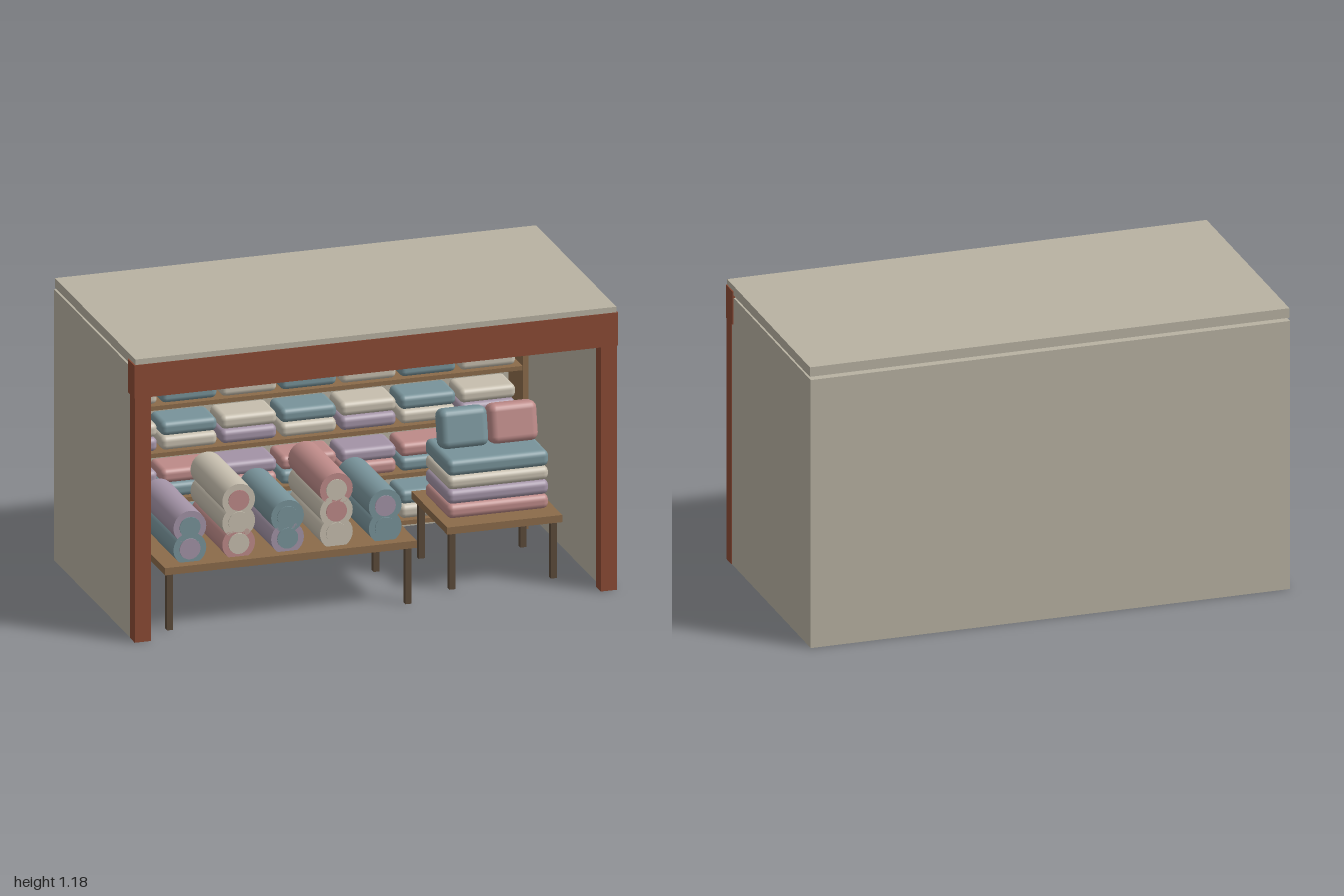
import * as THREE from 'three';
import { RoundedBoxGeometry } from 'three/addons/geometries/RoundedBoxGeometry.js';

const material = (name, color) => {
  const m = new THREE.MeshStandardMaterial({ color });
  m.name = name;
  return m;
};

export function createModel() {
  const plaster = material('plaster', 0xb8b2a2);
  const redWood = material('red painted wood', 0x8b4a35);
  const wood = material('shelf wood', 0x8b6b4a);
  const darkWood = material('dark leg wood', 0x5c4a3a);
  const lampDark = material('dark lamp', 0x45413c);
  const cream = material('cream cloth', 0xc6beae);
  const teal = material('teal cloth', 0x78939a);
  const pink = material('pink cloth', 0xbd8a88);
  const mauve = material('mauve cloth', 0xa393a6);
  const cloths = [cream, teal, pink, mauve];

  const model = new THREE.Group();
  model.name = 'fabricStall';

  const add = (parent, name, geometry, mat, x, y, z) => {
    const mesh = new THREE.Mesh(geometry, mat);
    mesh.name = name;
    mesh.position.set(x, y, z);
    parent.add(mesh);
    return mesh;
  };
  // Box given by its limits on each axis
  const span = (parent, name, mat, x0, x1, y0, y1, z0, z1) =>
    add(parent, name, new THREE.BoxGeometry(x1 - x0, y1 - y0, z1 - z0), mat,
      (x0 + x1) / 2, (y0 + y1) / 2, (z0 + z1) / 2);
  const group = (name) => {
    const g = new THREE.Group();
    g.name = name;
    model.add(g);
    return g;
  };

  // Shell: back and side walls, roof, red front frame
  const shell = group('shell');
  span(shell, 'backWall', plaster, -0.995, 0.995, 0, 1.13, -0.51, -0.46);
  for (const s of [-1, 1]) {
    const side = s > 0 ? 'left' : 'right';
    add(shell, side + 'Wall', new THREE.BoxGeometry(0.045, 1.13, 0.91), plaster, s * 0.9725, 0.565, -0.005);
    add(shell, side + 'Post', new THREE.BoxGeometry(0.067, 1.03, 0.06), redWood, s * 0.964, 0.515, 0.48);
  }
  span(shell, 'roof', plaster, -0.995, 0.995, 1.14, 1.18, -0.5, 0.51);
  span(shell, 'header', redWood, -1, 1, 1.018, 1.157, 0.43, 0.512);
  span(shell, 'ceilingLamp', lampDark, -0.35, 0.35, 1.11, 1.14, 0.07, 0.14);

  // Shelving along the back wall
  const shelving = group('shelving');
  const shelfY = [0.08, 0.277, 0.474, 0.671, 0.868];
  for (const x of [-0.888, 0.88])
    span(shelving, 'shelfPost', wood, x - 0.012, x + 0.012, 0, 0.887, -0.46, -0.28);
  for (const y of shelfY)
    span(shelving, 'shelf', wood, -0.885, 0.875, y - 0.009, y + 0.009, -0.46, -0.285);

  // Folded cloth, two high and seven across on four shelves
  const folded = new RoundedBoxGeometry(0.232, 0.058, 0.16, 3, 0.022);
  const evenStart = [1, 2, 3, 0], oddStart = [0, 1, 0, 1];
  for (let row = 0; row < 4; row++)
    for (let col = 0; col < 7; col++)
      for (let layer = 0; layer < 2; layer++) {
        const start = (col % 2 ? oddStart : evenStart)[row];
        add(shelving, 'foldedCloth', folded, cloths[(start + layer) % 4],
          -0.755 + col * 0.247, shelfY[row] + 0.043 + layer * 0.06, -0.365);
      }

  // Tables
  const table = (name, x0, x1, z, halfDepth) => {
    const g = group(name);
    span(g, 'tableTop', wood, x0, x1, 0.238, 0.268, z - halfDepth, z + halfDepth);
    for (const x of [x0 + 0.028, x1 - 0.028])
      for (const s of [-1, 1])
        add(g, 'tableLeg', new THREE.BoxGeometry(0.025, 0.24, 0.025), darkWood, x, 0.12, z + s * (halfDepth - 0.033));
    return g;
  };
  const rollTable = table('rollTable', -0.847, 0.195, 0.2, 0.233);
  const stackTable = table('stackTable', 0.356, 0.832, 0.1, 0.225);

  // Fabric rolls lying front to back: [outer, end disc] from the bottom up
  const rollGeometry = new THREE.CylinderGeometry(0.068, 0.068, 0.4, 24).rotateX(Math.PI / 2);
  const discGeometry = new THREE.CylinderGeometry(0.043, 0.043, 0.408, 20).rotateX(Math.PI / 2);
  const stacks = [
    [[teal, mauve], [mauve, teal]],
    [[pink, cream], [cream, cream], [cream, pink]],
    [[mauve, teal], [teal, teal]],
    [[cream, cream], [cream, pink], [pink, cream]],
    [[teal, teal], [teal, mauve]],
  ];
  stacks.forEach((stack, col) => stack.forEach(([outer, disc], i) => {
    const x = -0.73 + col * 0.202, y = 0.322 + i * 0.09;
    add(rollTable, 'fabricRoll', rollGeometry, outer, x, y, 0.19);
    add(rollTable, 'rollEnds', discGeometry, disc, x, y, 0.19);
  }));

  // Folded blankets with two cushions leaning back on top
  const blankets = [[pink, 0.27, 0.33], [mauve, 0.33, 0.39], [cream, 0.39, 0.447], [teal, 0.447, 0.514]];
  for (const [mat, y0, y1] of blankets)
    add(stackTable, 'blanket', new RoundedBoxGeometry(0.42, y1 - y0, 0.3, 3, 0.024), mat, 0.594, (y0 + y1) / 2, 0.1);
  const cushion = new RoundedBoxGeometry(0.2, 0.16, 0.09, 3, 0.03);
  [[teal, 0.49], [pink, 0.695]].forEach(([mat, x]) => {
    add(stackTable, 'cushion', cushion, mat, x, 0.598, 0.1).rotation.x = -0.2;
  });

  return model;
}
